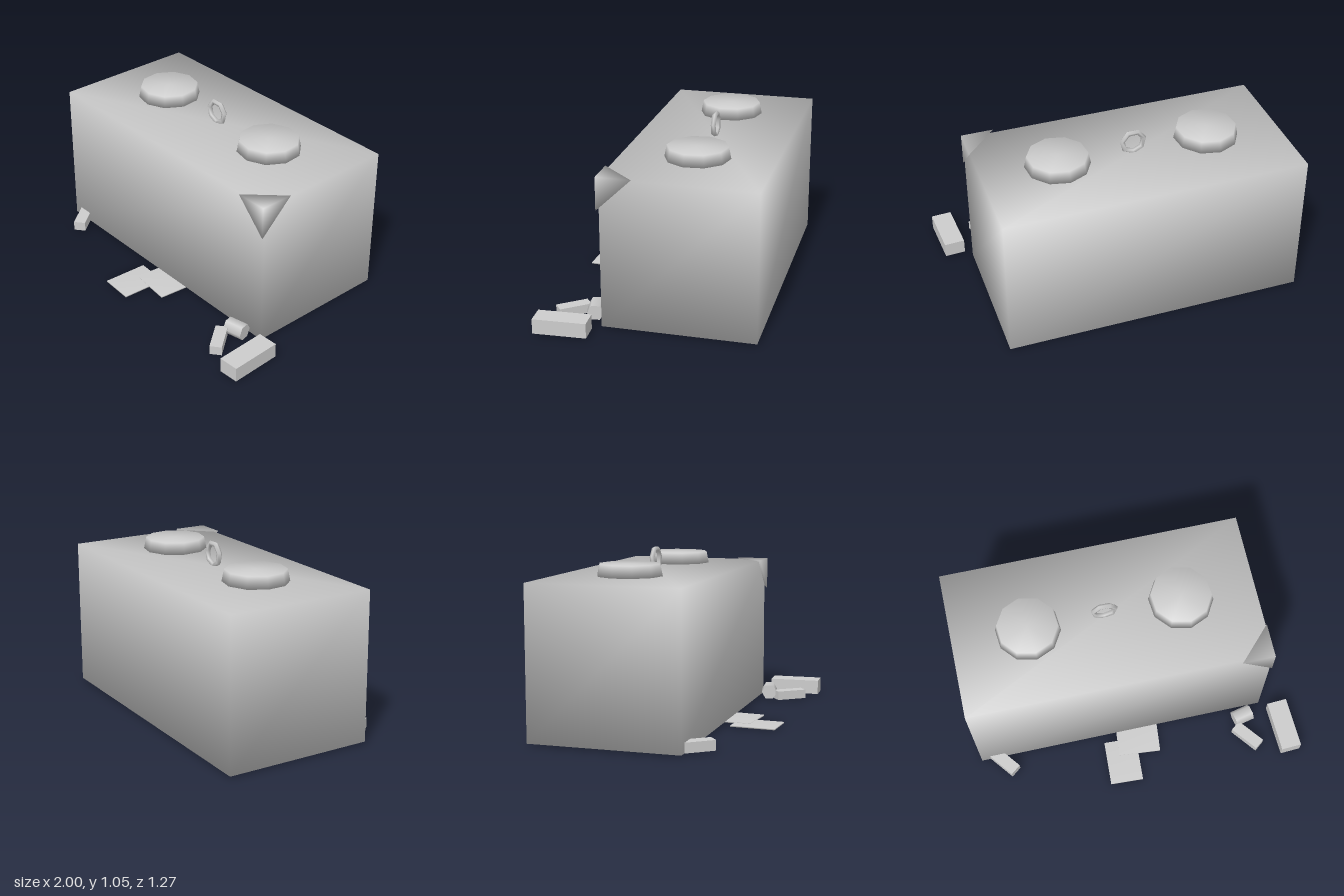
import * as THREE from 'three';
import { mergeVertices } from 'three/addons/utils/BufferGeometryUtils.js';

const grey = new THREE.MeshStandardMaterial({ color: 0xcccccc });
grey.name = 'plain grey';

// Share corner vertices so shading runs smoothly across the edges
function smooth(geometry) {
  geometry.deleteAttribute('normal');
  geometry.deleteAttribute('uv');
  const merged = mergeVertices(geometry, 1e-4);
  merged.computeVertexNormals();
  return merged;
}

export function createModel() {
  const group = new THREE.Group();
  const add = (name, geometry, x, y, z, turn = 0) => {
    const mesh = new THREE.Mesh(geometry, grey);
    mesh.name = name;
    mesh.position.set(x, y, z);
    mesh.rotation.y = turn;
    group.add(mesh);
    return mesh;
  };

  // Main block
  add('body', smooth(new THREE.BoxGeometry(1.82, 0.9, 0.905)), -0.09, 0.46, -0.183);

  // Two round lids and the ring between them
  for (const x of [-0.547, 0.37]) {
    add('lid', smooth(new THREE.CylinderGeometry(0.179, 0.193, 0.07, 10)), x, 0.955, -0.183, 0.1);
  }
  const ring = add('ring', new THREE.TorusGeometry(0.067, 0.016, 5, 7), -0.09, 0.977, -0.183);
  ring.rotation.z = 0.2;

  // Three-sided cap over the front top corner
  const cap = new THREE.BufferGeometry();
  cap.setAttribute('position', new THREE.Float32BufferAttribute([
    0.63, 0.918, 0.287, 0.826, 0.918, 0.08, 0.826, 0.72, 0.287, 0.826, 0.918, 0.287,
  ], 3));
  cap.setIndex([0, 2, 3, 2, 1, 3, 1, 0, 3, 0, 1, 2]);
  cap.computeVertexNormals();
  add('cornerCap', cap, 0, 0, 0);

  // Loose sheets lying in front
  add('sheet', smooth(new THREE.BoxGeometry(0.205, 0.008, 0.275)), -0.118, 0.004, 0.464, -0.05);
  add('sheet', smooth(new THREE.BoxGeometry(0.265, 0.008, 0.24)), 0.005, 0.007, 0.315, -0.09);

  // Loose blocks
  add('largeBlock', new THREE.BoxGeometry(0.125, 0.09, 0.315), 0.93, 0.053, 0.47, 0.05);
  add('smallBlock', new THREE.BoxGeometry(0.072, 0.056, 0.195), 0.69, 0.036, 0.48, 0.67);
  add('smallBlock', new THREE.BoxGeometry(0.075, 0.06, 0.2), -0.862, 0.038, 0.312, 0.67);

  // Short six-sided peg lying on its side
  const peg = new THREE.CylinderGeometry(0.05, 0.05, 0.12, 6);
  peg.rotateZ(Math.PI / 2);
  add('peg', peg, 0.69, 0.052, 0.343, 0.22);

  return group;
}
